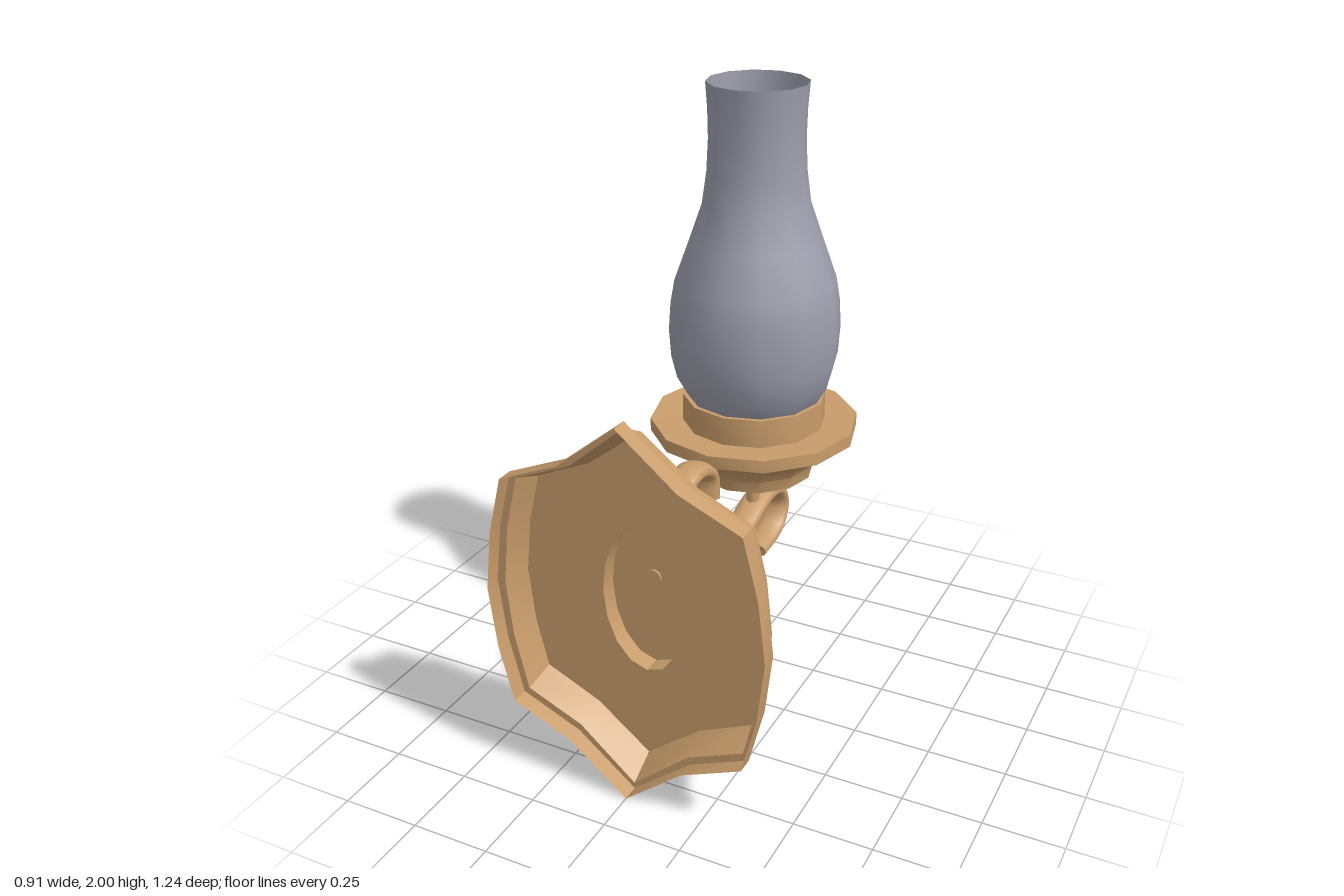
import * as THREE from 'three';
import { toCreasedNormals } from 'three/addons/utils/BufferGeometryUtils.js';

const PLATE_Y = 0.625; // height of the wall plate's centre
const LAMP_Z = -0.28;  // axis of the cup and chimney

// Mirrors a quarter outline (right side to top tip) into a full closed ring
function fullRing(q) {
  const half = [...q, ...q.slice(1, -1).reverse().map(([x, y]) => [-x, y])];
  return [...half, ...half.map(([x, y]) => [-x, -y])];
}

function ellipseRing(rx, ry, n) {
  return Array.from({ length: n }, (_, i) => {
    const a = (i / n) * Math.PI * 2;
    return [Math.cos(a) * rx, Math.sin(a) * ry];
  });
}

// Band of quads through rings, each given as { ring, z } from back to front
function loft(levels) {
  const pos = [];
  for (let k = 0; k < levels.length - 1; k++) {
    const a = levels[k], b = levels[k + 1], n = a.ring.length;
    for (let i = 0; i < n; i++) {
      const j = (i + 1) % n;
      const a0 = [...a.ring[i], a.z], a1 = [...a.ring[j], a.z];
      const b0 = [...b.ring[i], b.z], b1 = [...b.ring[j], b.z];
      pos.push(...a0, ...b0, ...b1, ...a0, ...b1, ...a1);
    }
  }
  const g = new THREE.BufferGeometry();
  g.setAttribute('position', new THREE.Float32BufferAttribute(pos, 3));
  g.computeVertexNormals();
  return toCreasedNormals(g, 0.5);
}

function flatFace(ring, z, hole) {
  const toPoints = (r) => r.map(([x, y]) => new THREE.Vector2(x, y));
  const shape = new THREE.Shape(toPoints(ring));
  if (hole) shape.holes.push(new THREE.Path(toPoints(hole)));
  return new THREE.ShapeGeometry(shape).translate(0, 0, z);
}

function lathe(profile) {
  return new THREE.LatheGeometry(profile.map(([r, y]) => new THREE.Vector2(r, y)), 12);
}

export function createModel() {
  const model = new THREE.Group();
  model.name = 'wallLamp';
  const brass = new THREE.MeshStandardMaterial({ color: 0xc99d6c, side: THREE.DoubleSide });
  brass.name = 'warm brass';
  const glass = new THREE.MeshStandardMaterial({ color: 0x9c9eac, side: THREE.DoubleSide });
  glass.name = 'smoky glass';

  const add = (name, geometry, material, parent = model) => {
    const mesh = new THREE.Mesh(geometry, material);
    mesh.name = name;
    parent.add(mesh);
    return mesh;
  };

  // Hollow shield-shaped wall plate, open at the back
  const plate = new THREE.Group();
  plate.name = 'wallPlate';
  plate.position.y = PLATE_Y;
  model.add(plate);
  const rim = fullRing([[0.453, 0], [0.43, 0.195], [0.383, 0.382], [0.19, 0.465], [0, 0.62]]);
  const step = fullRing([[0.426, 0], [0.407, 0.185], [0.364, 0.364], [0.183, 0.442], [0, 0.6]]);
  const face = fullRing([[0.407, 0], [0.388, 0.175], [0.35, 0.332], [0.174, 0.412], [0, 0.548]]);
  const boss = ellipseRing(0.143, 0.245, 16);
  add('plateRim', loft([
    { ring: rim, z: 0.62 }, { ring: rim, z: 0.565 },
    { ring: step, z: 0.565 }, { ring: face, z: 0.47 },
  ]), brass, plate);
  add('plateFace', flatFace(face, 0.47, boss), brass, plate);

  // Raised oval boss, hollow like the plate
  add('bossWall', loft([{ ring: boss, z: 0.47 }, { ring: boss, z: 0.412 }]), brass, plate);
  add('bossFace', flatFace(boss, 0.412), brass, plate);

  // Pins joining plate to scroll and scroll to cup
  const platePin = add('platePin', new THREE.CylinderGeometry(0.025, 0.025, 0.05, 8), brass);
  platePin.rotation.x = Math.PI / 2;
  platePin.position.set(0, 0.675, 0.395);
  add('cupPin', new THREE.CylinderGeometry(0.023, 0.023, 0.09, 8), brass)
    .position.set(0, 0.63, LAMP_Z);

  // S-shaped scroll arm with an oval section, as [z, y] points
  const path = [
    [0.077, 0.785], [0.077, 0.855], [0.12, 0.896], [0.19, 0.912], [0.268, 0.886],
    [0.33, 0.81], [0.363, 0.67], [0.33, 0.53], [0.273, 0.467], [0.188, 0.44],
    [0.034, 0.467], [-0.178, 0.545], [-0.347, 0.592], [-0.432, 0.573],
    [-0.475, 0.51], [-0.443, 0.44], [-0.38, 0.411], [-0.287, 0.403],
  ];
  const curve = new THREE.CatmullRomCurve3(path.map(([z, y]) => new THREE.Vector3(0, y, z)));
  const thick = 0.027, widen = 1.85;
  const arm = new THREE.Group();
  arm.name = 'scrollArm';
  model.add(arm);
  add('scroll', new THREE.TubeGeometry(curve, 60, thick, 10).scale(widen, 1, 1), brass, arm);
  for (const t of [0, 1]) {
    const p = curve.getPointAt(t);
    const d = curve.getTangentAt(t).multiplyScalar(t ? 1 : -1);
    const cap = add('scrollEnd', new THREE.CircleGeometry(thick, 10).scale(widen, 1, 1), brass, arm);
    cap.rotation.x = Math.atan2(-d.y, d.z);
    cap.position.copy(p);
  }

  // Twelve-sided cup with drip rim and collar
  const cup = lathe([
    [0, 0.663], [0.055, 0.663], [0.198, 0.727], [0.206, 0.768], [0.238, 0.808],
    [0.285, 0.842], [0.338, 0.87], [0.338, 0.912], [0.232, 0.905], [0.232, 0.997], [0, 0.997],
  ]);
  add('cup', toCreasedNormals(cup, 0.6), brass).position.z = LAMP_Z;

  // Open glass chimney
  add('chimney', lathe([
    [0.218, 0.997], [0.25, 1.055], [0.268, 1.13], [0.274, 1.22], [0.268, 1.31], [0.255, 1.385],
    [0.21, 1.51], [0.168, 1.63], [0.154, 1.73], [0.149, 1.83], [0.151, 1.92], [0.157, 2],
  ]), glass).position.z = LAMP_Z;

  return model;
}
